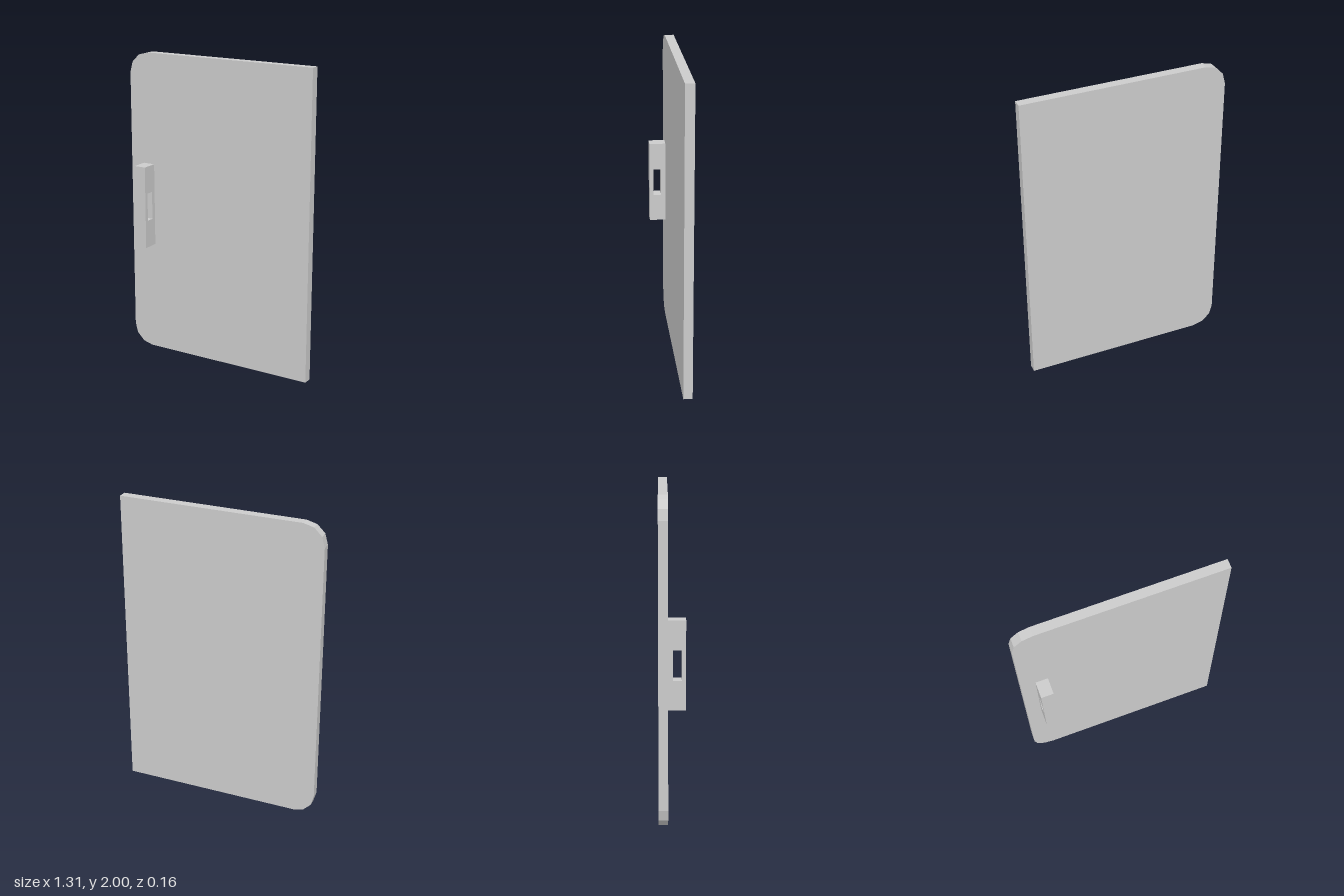
import * as THREE from 'three';

const material = new THREE.MeshStandardMaterial({ color: 0xcccccc, flatShading: true });

function extrude(shape, depth) {
  return new THREE.ExtrudeGeometry(shape, { depth, bevelEnabled: false });
}

// Points of a quarter circle, faceted into three straight pieces
function corner(cx, cy, r, start) {
  const points = [];
  for (let i = 0; i <= 3; i++) {
    const a = start + (i / 3) * (Math.PI / 2);
    points.push(new THREE.Vector2(cx + r * Math.cos(a), cy + r * Math.sin(a)));
  }
  return points;
}

function rectangle(x0, y0, x1, y1) {
  return [[x0, y0], [x1, y0], [x1, y1], [x0, y1]].map(([x, y]) => new THREE.Vector2(x, y));
}

export function createModel() {
  const group = new THREE.Group();
  group.name = 'cabinetDoor';

  // Door panel: square on the hinge side, rounded corners on the handle side
  const halfWidth = 0.655, height = 2, r = 0.135;
  const outline = new THREE.Shape([
    new THREE.Vector2(halfWidth, 0),
    new THREE.Vector2(halfWidth, height),
    ...corner(-halfWidth + r, height - r, r, Math.PI / 2),
    ...corner(-halfWidth + r, r, r, Math.PI),
  ]);
  const panel = new THREE.Mesh(extrude(outline, 0.058), material);
  panel.name = 'doorPanel';
  panel.position.z = -0.082;
  group.add(panel);

  // Handle: side profile (z, y) with a finger slot, extruded across x
  const profile = new THREE.Shape(rectangle(-0.024, 0.73, 0.082, 1.275));
  profile.holes.push(new THREE.Path(rectangle(0.005, 0.912, 0.057, 1.095)));
  const handle = new THREE.Mesh(extrude(profile, 0.08).rotateY(-Math.PI / 2), material);
  handle.name = 'handle';
  handle.position.x = -0.481;
  group.add(handle);

  return group;
}
